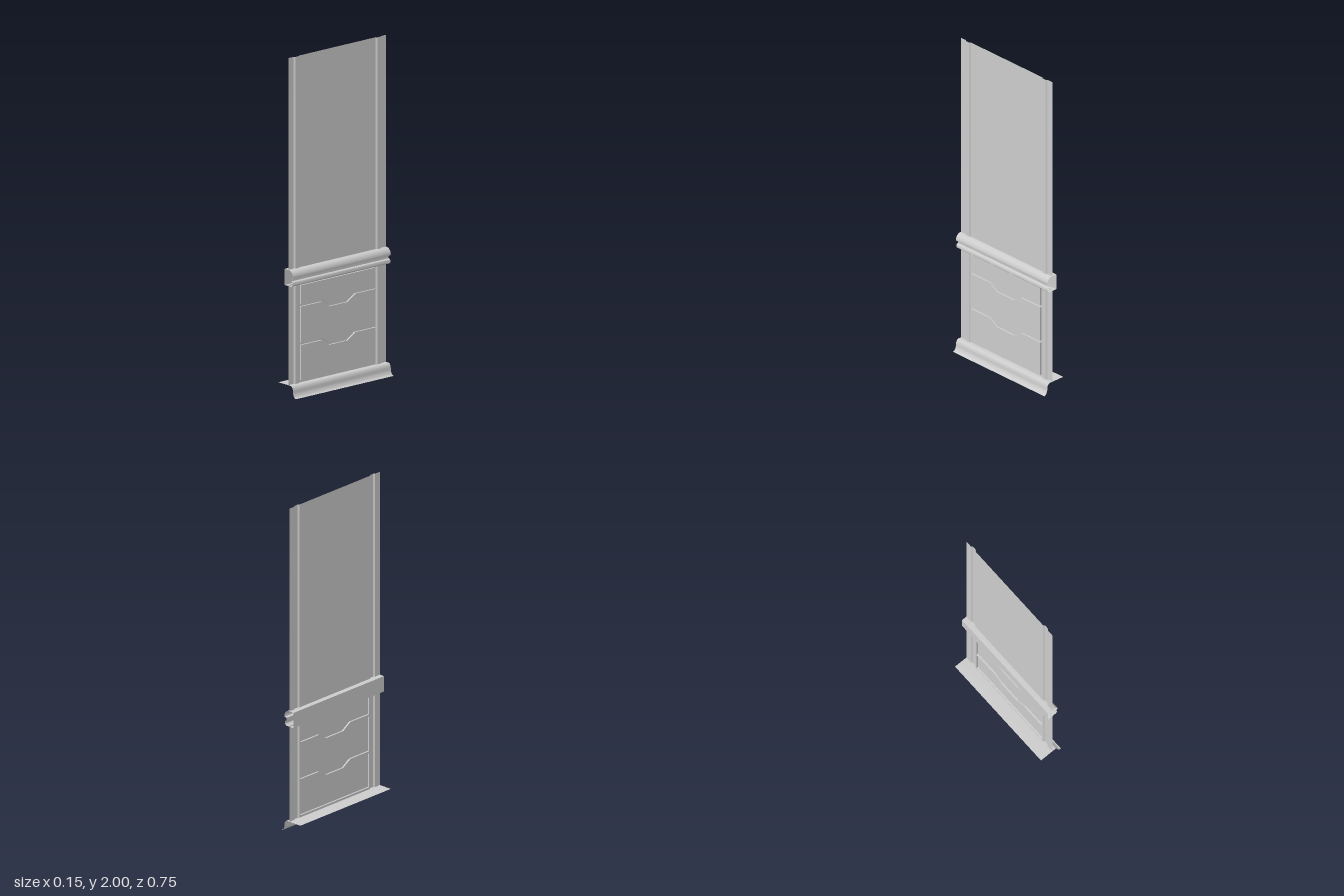
import * as THREE from 'three';
import { toCreasedNormals } from 'three/addons/utils/BufferGeometryUtils.js';

const HALF = 0.375;   // half the run along z
const WALL = 0.01;    // x of the wall plane
const PROUD = 0.018;  // x of raised faces

const material = new THREE.MeshStandardMaterial({ color: 0xcccccc, side: THREE.DoubleSide });

// Sweep a line of 2D points between two positions; place(point, t) gives [x, y, z].
function sweep(points, t0, t1, place) {
  const pos = [];
  for (let i = 0; i < points.length - 1; i++) {
    const a = place(points[i], t0), b = place(points[i + 1], t0);
    const c = place(points[i + 1], t1), d = place(points[i], t1);
    pos.push(...a, ...b, ...c, ...a, ...c, ...d);
  }
  const g = new THREE.BufferGeometry();
  g.setAttribute('position', new THREE.Float32BufferAttribute(pos, 3));
  return toCreasedNormals(g, 0.5);
}
const alongZ = (p, z) => [p[0], p[1], z];   // profile in x, y
const alongY = (p, y) => [p[1], y, -p[0]];  // plan in z, x
const alongX = (p, x) => [x, p[1], -p[0]];  // outline in z, y

// Quarter-ellipse from a to b; bulge true leaves a horizontally, false vertically.
function quarter(a, b, bulge, n = 8) {
  return Array.from({ length: n + 1 }, (_, i) => {
    const t = (i / n) * Math.PI / 2, s = Math.sin(t), c = 1 - Math.cos(t);
    const [u, v] = bulge ? [s, c] : [c, s];
    return [a[0] + (b[0] - a[0]) * u, a[1] + (b[1] - a[1]) * v];
  });
}

function face(outline, x, holes = []) {
  const vec = (o) => o.map((p) => new THREE.Vector2(p[0], p[1]));
  const shape = new THREE.Shape(vec(outline));
  shape.holes = holes.map((h) => new THREE.Path(vec(h)));
  return new THREE.ShapeGeometry(shape).rotateY(Math.PI / 2).translate(x, 0, 0);
}

// Edge with a dropped finger pull in its middle, left to right.
const pull = (w, y) => [[-w, y], [-0.13, y], [-0.07, y - 0.038], [0.07, y - 0.038], [0.13, y], [w, y]];

export function createModel() {
  const group = new THREE.Group();
  const add = (name, geometry, parent = group) => {
    const mesh = new THREE.Mesh(geometry, material);
    mesh.name = name;
    parent.add(mesh);
  };

  // Plan of one wall edge: flat margin and raised upright moulding
  const margin = [[HALF, WALL], [0.335, WALL], [0.327, PROUD], [0.302, PROUD], [0.294, WALL], [0.288, WALL]];
  const mirrored = margin.map(([z, x]) => [-z, x]).reverse();

  add('upperWall', sweep([...margin, ...mirrored], 0.74, 2, alongY));
  add('lowerLeftUpright', sweep(mirrored, 0.07, 0.66, alongY));
  add('lowerRightUpright', sweep(margin, 0.07, 0.66, alongY));

  // Drawer fronts, raised from a backing that is cut out behind them
  const w = 0.285, gap = 0.013;
  const outlines = [
    [[-w, 0.083], [w, 0.083], ...pull(w, 0.292).reverse()],
    [...pull(w, 0.292 + gap), ...pull(w, 0.519).reverse()],
    [...pull(w, 0.519 + gap), [w, 0.645], [-w, 0.645]],
  ];
  add('drawerSurround', face([[-0.288, 0.07], [0.288, 0.07], [0.288, 0.66], [-0.288, 0.66]], WALL, outlines));
  outlines.forEach((o, i) => {
    const drawer = new THREE.Group();
    drawer.name = 'drawer' + (i + 1);
    add('drawerFace', face(o, 0.02), drawer);
    add('drawerEdges', sweep([...o, o[0]], WALL, 0.02, alongX), drawer);
    group.add(drawer);
  });

  // Rail: box behind the wall, rounded nosing and small bead in front
  const rail = [
    [-0.022, 0.655], [-0.022, 0.75], [0.015, 0.75],
    ...quarter([0.015, 0.75], [0.05, 0.712], true).slice(1),
    [0.048, 0.706], [0.032, 0.704], [0.032, 0.686],
    ...quarter([0.032, 0.686], [0.046, 0.676], true).slice(1),
    [0.046, 0.664], [0.036, 0.655], [-0.022, 0.655],
  ];
  add('rail', sweep(rail, -HALF, HALF, alongZ));

  // Skirting: flat top running behind the wall, flared cove in front
  const skirting = [
    [-0.075, 0.07], [0.03, 0.07],
    ...quarter([0.03, 0.07], [0.05, 0.04], true).slice(1),
    ...quarter([0.05, 0.04], [0.075, 0], false).slice(1),
  ];
  add('skirting', sweep(skirting, -HALF, HALF, alongZ));

  return group;
}
